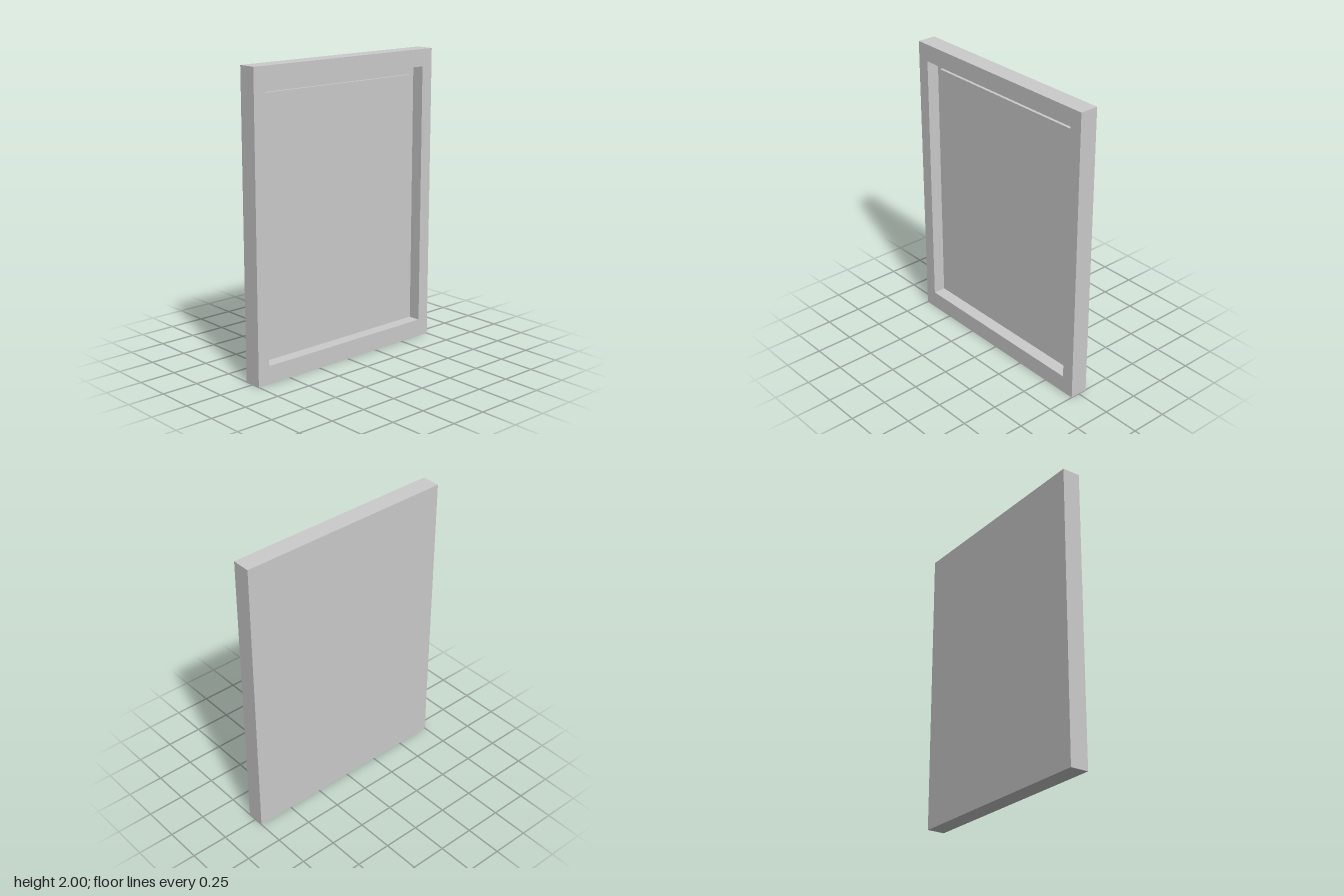
import * as THREE from 'three';

const H = 2, D = 1.5, T = 0.125;   // overall height, width along z, thickness
const FLOOR = -0.0225;             // x of the recess floor
const BOTTOM = 0.12, TOP = 1.885;  // opening heights
const HALF = 0.665;                // opening half width

export function createModel() {
  const group = new THREE.Group();
  const material = new THREE.MeshStandardMaterial({ color: 0xcccccc, flatShading: true });

  const add = (name, geometry) => {
    const mesh = new THREE.Mesh(geometry, material);
    mesh.name = name;
    group.add(mesh);
    return mesh;
  };

  // A rectangle in the z-y plane, usable as outline or hole
  const rect = (PathType, half, y0, y1) => new PathType([
    new THREE.Vector2(-half, y0), new THREE.Vector2(half, y0),
    new THREE.Vector2(half, y1), new THREE.Vector2(-half, y1),
  ]);

  // Extrude a shape along +x, from x0 to x1
  const slab = (shape, x0, x1) =>
    new THREE.ExtrudeGeometry(shape, { depth: x1 - x0, bevelEnabled: false })
      .rotateY(Math.PI / 2).translate(x0, 0, 0);

  // Frame border, open toward +x
  const border = rect(THREE.Shape, D / 2, 0, H);
  border.holes.push(rect(THREE.Path, HALF, BOTTOM, TOP));
  add('frame', slab(border, -T / 2, T / 2));

  // Backing board closing the recess, flush with the back of the frame
  add('backing', slab(rect(THREE.Shape, HALF, BOTTOM, TOP), -T / 2, FLOOR));

  // Raised inner panel resting on the backing
  add('panel', slab(rect(THREE.Shape, 0.62, 0.18, 1.828), FLOOR, FLOOR + 0.02));

  return group;
}
